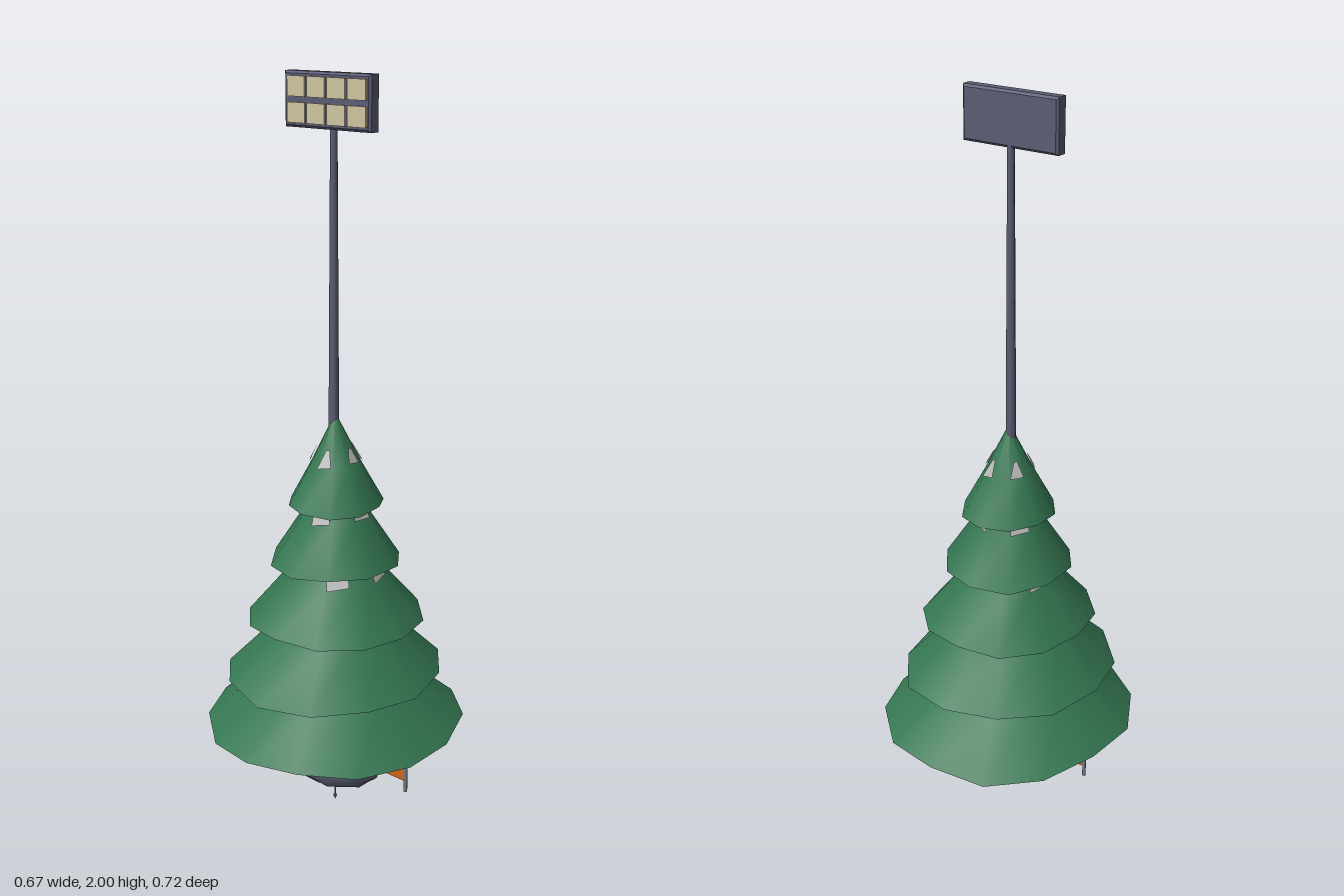
import * as THREE from 'three';

const mat = (name, color, side = THREE.FrontSide) => {
  const m = new THREE.MeshStandardMaterial({ color, side });
  m.name = name;
  return m;
};

export function createModel() {
  const model = new THREE.Group();
  model.name = 'treeWithLampBoard';
  const green = mat('fir green', 0x357752, THREE.DoubleSide);
  const snow = mat('snow grey', 0xb8b8b8, THREE.DoubleSide);
  const slate = mat('slate', 0x5b5c74);
  const cream = mat('lamp cream', 0xcfc3a0);
  const orange = mat('banner orange', 0xcc651c);
  const steel = mat('steel', 0x74787f);

  const add = (name, geometry, material, x = 0, y = 0, z = 0) => {
    const mesh = new THREE.Mesh(geometry, material);
    mesh.name = name;
    mesh.position.set(x, y, z);
    model.add(mesh);
    return mesh;
  };

  // Small repeatable wobble in the range -1..1
  const wobble = (a, b) => {
    const s = Math.sin(a * 12.9898 + b * 78.233) * 43758.5453;
    return 2 * (s - Math.floor(s)) - 1;
  };

  // Point on a tier: side k of n, radius r, height y; the wobble grows with r
  const ringPoint = (k, n, r, y, seed) => {
    const i = (k + n) % n, a = (i / n) * Math.PI * 2;
    const rr = r * (1 + 0.035 * wobble(i + 1, seed));
    return new THREE.Vector3(Math.sin(a) * rr * 0.98, y + 0.03 * r * wobble(i + 1, seed + 5), Math.cos(a) * rr * 1.04);
  };

  // Skin of closed rings from the top of a profile to its bottom
  const skin = (profile, n, seed) => {
    const pos = [], index = [];
    profile.forEach(([r, y]) => {
      for (let k = 0; k < n; k++) pos.push(...ringPoint(k, n, r, y, seed).toArray());
    });
    for (let j = 0; j < profile.length - 1; j++) {
      for (let k = 0; k < n; k++) {
        const a = j * n + k, b = j * n + (k + 1) % n;
        index.push(a, a + n, b, b, a + n, b + n);
      }
    }
    const g = new THREE.BufferGeometry();
    g.setAttribute('position', new THREE.Float32BufferAttribute(pos, 3));
    g.setIndex(index);
    g.computeVertexNormals();
    return g;
  };

  // Branch tiers: top, bend and rim as [radius, height], and the snow height range
  const tiers = [
    { n: 10, p: [[0.001, 1.145], [0.068, 1.01], [0.128, 0.9]], s: [1.055, 1.015] },
    { n: 10, p: [[0.055, 0.96], [0.095, 0.865], [0.175, 0.74]], s: [0.91, 0.866] },
    { n: 12, p: [[0.08, 0.80], [0.13, 0.705], [0.235, 0.58]], s: [0.75, 0.706] },
    { n: 12, p: [[0.11, 0.64], [0.165, 0.55], [0.293, 0.42]], s: [0.60, 0.562] },
    { n: 14, p: [[0.14, 0.48], [0.205, 0.395], [0.35, 0.267]], s: [0.44, 0.408] },
  ];
  tiers.forEach(({ n, p, s }, t) => {
    add('branchTier', skin(p, n, t + 1), green);
    const [rr, ry] = p[2];
    add('branchTierUnderside', skin([[rr, ry], [rr * 0.45, ry + 0.012]], n, t + 1), green);

    // Five snow patches on the upper part of the tier
    const [[r0, y0], [r1, y1]] = p;
    const pos = [];
    for (let i = 0; i < 5; i++) {
      const k = Math.floor((i + 0.42) / 5 * n);
      const at = (u, y) => {
        const r = r0 + (r1 - r0) * (y0 - y) / (y0 - y1);
        const v = ringPoint(k, n, r, y, t + 1).lerp(ringPoint(k + 1, n, r, y, t + 1), u);
        const f = 1 + 0.005 / Math.hypot(v.x, v.z);
        return [v.x * f, v.y + 0.003, v.z * f];
      };
      const low = s[1] + 0.008 * wobble(i, t);
      const a = at(t ? 0.05 : 0.4, s[0]), b = at(0.08, low), c = at(0.92, s[1]), d = at(t ? 0.95 : 0.7, s[0]);
      pos.push(...a, ...b, ...c, ...a, ...c, ...d);
    }
    const g = new THREE.BufferGeometry();
    g.setAttribute('position', new THREE.Float32BufferAttribute(pos, 3));
    g.computeVertexNormals();
    add('snowPatches', g, snow);
  });

  // Two small skirts tucked under the lowest tier
  [[0.25, 0.232, 7], [0.185, 0.202, 8]].forEach(([r, y, seed]) => {
    add('lowerSkirt', skin([[r * 0.6, y + 0.06], [r, y]], 12, seed), green);
    add('lowerSkirtUnderside', skin([[r, y], [r * 0.35, y + 0.008]], 12, seed), green);
  });

  // Lumpy root ball
  const ball = new THREE.SphereGeometry(1, 16, 10);
  const bp = ball.attributes.position;
  for (let i = 0; i < bp.count; i++) {
    const x = bp.getX(i), y = bp.getY(i), z = bp.getZ(i);
    const f = 1 + 0.05 * Math.sin(7 * x + 2) * Math.cos(6 * z + 3 * y);
    bp.setXYZ(i, x * f * 0.155, Math.max(y * f, -0.95) * 0.078, z * f * 0.12);
  }
  ball.computeVertexNormals();
  add('rootBall', ball, slate, 0, 0.15, 0);

  // Pin under the root ball
  add('pin', new THREE.CylinderGeometry(0.002, 0.002, 0.09, 6), steel, 0, 0.05, 0);
  add('pinTip', new THREE.ConeGeometry(0.006, 0.014, 6).rotateX(Math.PI), steel, 0, 0.007, 0);

  // Banner between two stakes
  add('banner', new THREE.BoxGeometry(0.5, 0.105, 0.004), orange, -0.003, 0.208, 0);
  for (const x of [-0.257, 0.251]) {
    add('bannerStake', new THREE.CylinderGeometry(0.005, 0.005, 0.145, 8), steel, x, 0.197, 0);
  }

  // Mast
  add('mast', new THREE.CylinderGeometry(0.009, 0.014, 0.84, 8), slate, -0.005, 1.49, 0);

  // Lamp board with bevelled edges
  const w = 0.275, h = 0.135, c = 0.006;
  const board = new THREE.Shape();
  board.moveTo(-w / 2 + c, -h / 2 + c);
  board.lineTo(w / 2 - c, -h / 2 + c);
  board.lineTo(w / 2 - c, h / 2 - c);
  board.lineTo(-w / 2 + c, h / 2 - c);
  board.closePath();
  const boardGeo = new THREE.ExtrudeGeometry(board, {
    depth: 0.026, bevelEnabled: true, bevelSize: c, bevelThickness: 0.005, bevelSegments: 1,
  });
  add('lampBoard', boardGeo, slate, -0.005, 1.9325, -0.003);

  // Two rows of four lamp panels
  for (let row = 0; row < 2; row++) {
    for (let col = 0; col < 4; col++) {
      add('lampPanel', new THREE.BoxGeometry(0.057, 0.049, 0.006), cream,
        -0.1 + col * 0.0645, 1.901 + row * 0.063, 0.03);
    }
  }
  return model;
}
